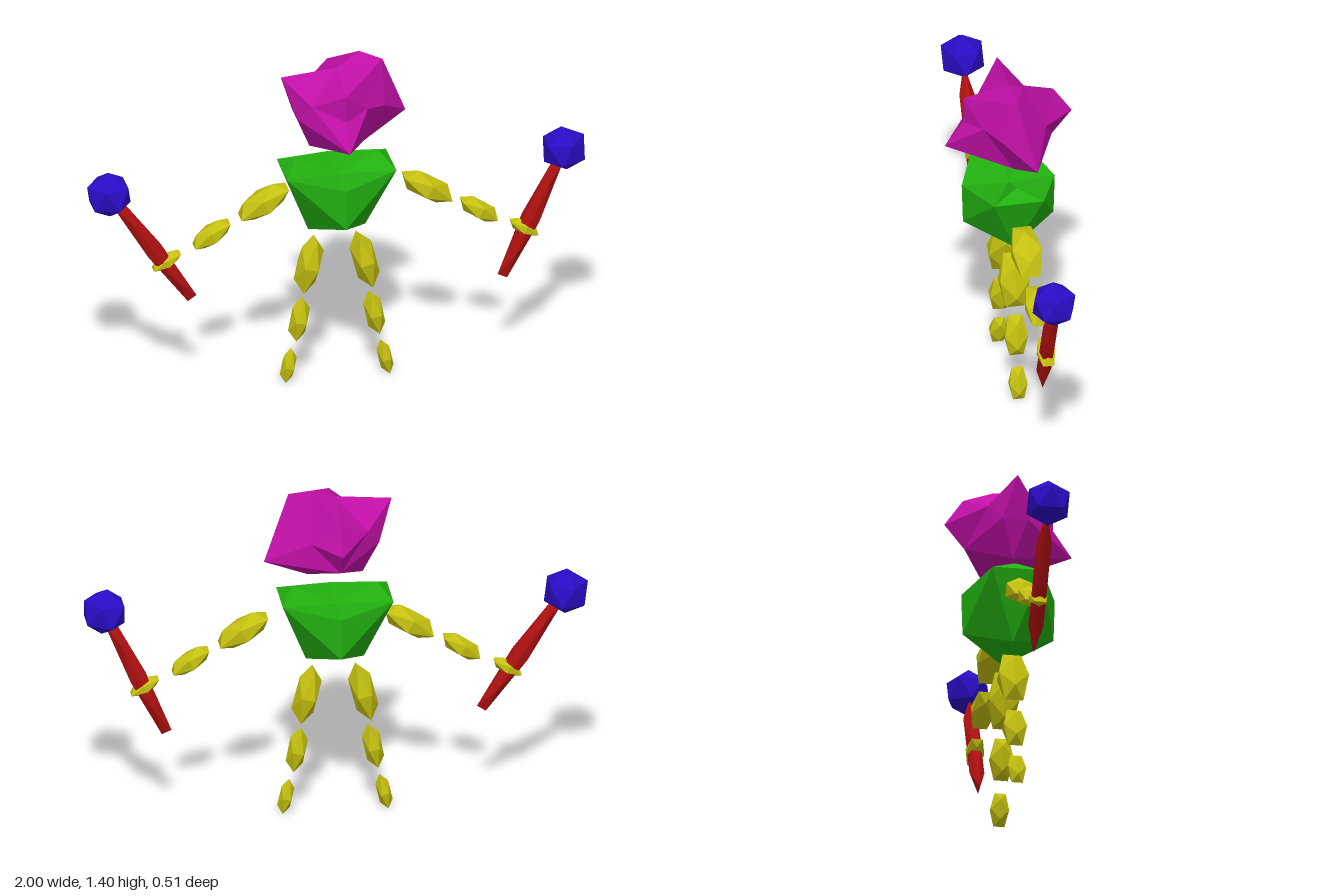
import * as THREE from 'three';
import { ConvexGeometry } from 'three/addons/geometries/ConvexGeometry.js';

const mat = (color) => new THREE.MeshStandardMaterial({ color, flatShading: true });
const GREEN = mat(0x22b010), PURPLE = mat(0xc010a6), YELLOW = mat(0xc4c010);
const RED = mat(0xb01010), BLUE = mat(0x2a0cc4);

// Faceted, possibly concave rock: corners are joined by their directions from a centre
function rock(name, centreY, corners, material) {
  const pts = corners.map(([x, y, z]) => new THREE.Vector3(x, y - centreY, z));
  const dirs = pts.map((p) => p.clone().normalize());
  const geo = new ConvexGeometry(dirs);
  const pos = geo.attributes.position;
  const v = new THREE.Vector3();
  for (let i = 0; i < pos.count; i++) {
    v.fromBufferAttribute(pos, i);
    let best = 0;
    dirs.forEach((d, k) => { if (d.dot(v) > dirs[best].dot(v)) best = k; });
    pos.setXYZ(i, pts[best].x, pts[best].y, pts[best].z);
  }
  geo.computeVertexNormals();
  const mesh = new THREE.Mesh(geo, material);
  mesh.name = name;
  mesh.position.y = centreY;
  return mesh;
}

// Stretched twenty-sided gem running from a to b in the z = 0 plane, half width w, half depth d
function gem(name, [ax, ay], [bx, by], w, d, material, turned = true) {
  const geo = new THREE.IcosahedronGeometry(1 / 0.851, 0);
  if (turned) geo.rotateY(Math.PI / 2);
  geo.scale(w, Math.hypot(bx - ax, by - ay) / 2, d);
  geo.computeVertexNormals();
  const mesh = new THREE.Mesh(geo, material);
  mesh.name = name;
  mesh.position.set((ax + bx) / 2, (ay + by) / 2, 0);
  mesh.rotation.z = Math.atan2(ax - bx, by - ay);
  return mesh;
}

export function createModel() {
  const model = new THREE.Group();
  model.name = 'figure';

  // Torso: broad raised shoulders with a dip between them
  const torso = [[0, 0.89, 0]];
  for (const s of [-1, 1]) {
    torso.push([0.17 * s, 0.975, 0], [0.115 * s, 0.66, 0]);
    torso.push([0, 0.9, 0.187 * s], [0, 0.73, 0.182 * s]);
    for (const t of [-1, 1]) torso.push([0.22 * s, 0.93, 0.1 * t]);
  }
  model.add(rock('torso', 0.82, torso, GREEN));

  // Head: irregular spiky rock
  model.add(rock('head', 1.2, [
    [-0.11, 1.025, 0], [0.11, 1.025, 0],
    [0, 1.095, 0.255], [0, 1.2, 0.18], [0, 1.31, 0.18],
    [0, 1.1, -0.175], [0, 1.2, -0.255], [0, 1.31, -0.18],
    [-0.17, 1.17, 0.05], [-0.17, 1.17, -0.05],
    [-0.12, 1.24, 0.1], [-0.12, 1.24, -0.1],
    [-0.225, 1.335, 0], [0, 1.355, 0], [0.1, 1.4, -0.04], [0.185, 1.375, 0],
    [0.18, 1.2, 0.06], [0.1, 1.22, 0.12], [0.11, 1.21, -0.13],
    [0.29, 1.115, -0.06],
  ], PURPLE));

  // Legs
  for (const [side, s] of [['left', 1], ['right', -1]]) {
    model.add(
      gem(side + 'Thigh', [0.14 * s, 0.395], [0.085 * s, 0.615], 0.045, 0.06, YELLOW),
      gem(side + 'Shin', [0.168 * s, 0.185], [0.135 * s, 0.352], 0.035, 0.046, YELLOW),
      gem(side + 'Foot', [0.21 * s, 0.004], [0.18 * s, 0.135], 0.026, 0.036, YELLOW),
    );
  }

  // Arms, set at slightly different distances from the torso
  for (const [side, s, o] of [['left', 1, 0.07], ['right', -1, 0]]) {
    model.add(
      gem(side + 'UpperArm', [s * (0.39 + o), 0.74], [s * (0.2 + o), 0.855], 0.045, 0.06, YELLOW),
      gem(side + 'Forearm', [s * (0.575 + o), 0.63], [s * (0.433 + o), 0.725], 0.035, 0.046, YELLOW),
      gem(side + 'Hand', [s * (0.74 + o), 0.547], [s * (0.632 + o), 0.612], 0.024, 0.036, YELLOW),
    );
  }

  // Hand-held clubs: tapered shaft with a gem on the end
  const clubs = [
    ['left', [0.668, 0.375], [0.895, 0.86], [0.916, 0.91]],
    ['right', [-0.582, 0.405], [-0.888, 0.855], [-0.918, 0.893]],
  ];
  for (const [side, low, high, tip] of clubs) {
    const shaft = gem(side + 'ClubShaft', low, high, 0.034, 0.03, RED, false);
    const head = new THREE.Mesh(new THREE.IcosahedronGeometry(0.096, 0), BLUE);
    head.name = side + 'ClubHead';
    head.position.set(tip[0], tip[1], 0);
    head.rotation.z = shaft.rotation.z;
    model.add(shaft, head);
  }
  return model;
}
